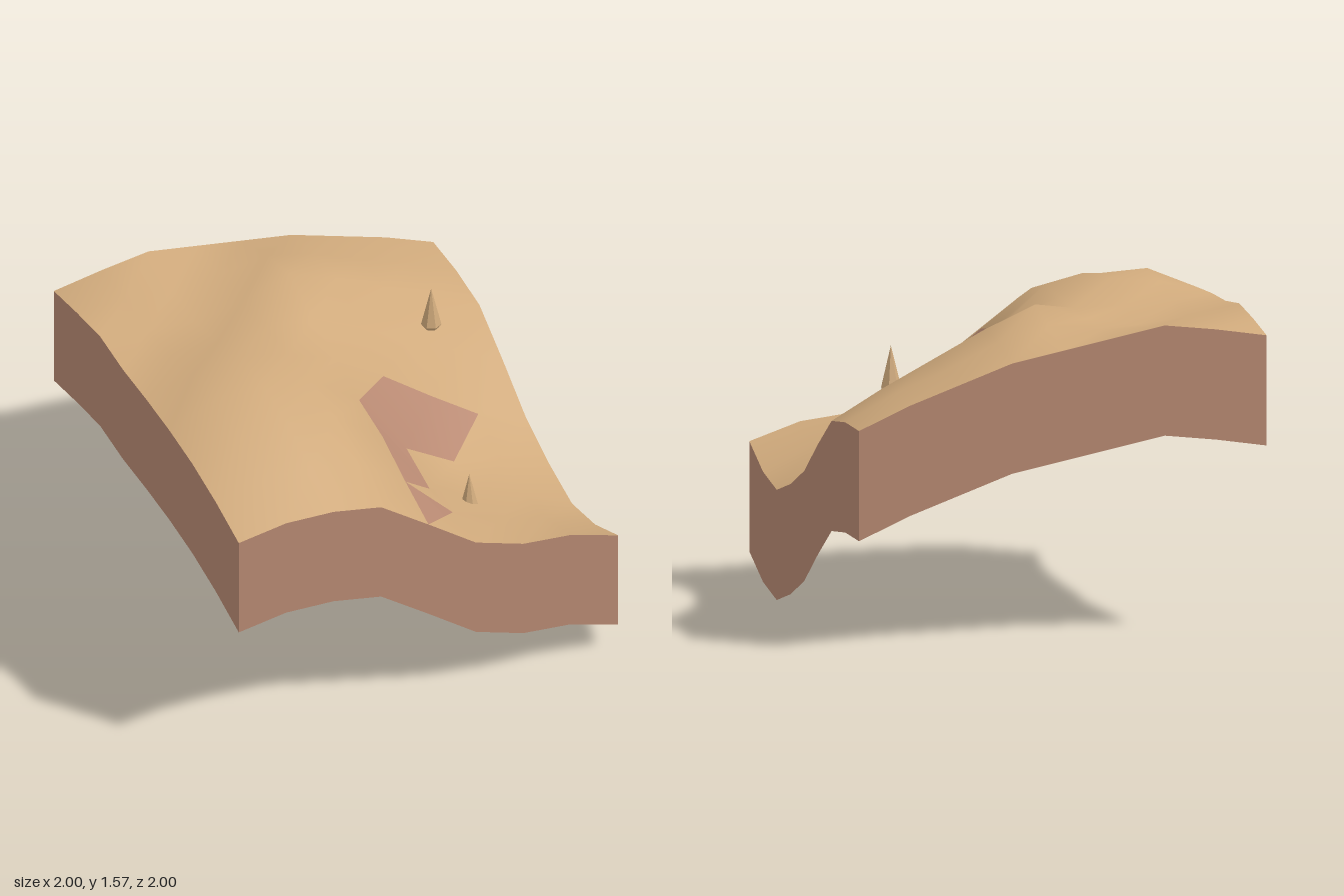
import * as THREE from 'three';

const N = 8, STEP = 0.25, DEPTH = 0.53;

// Terrain heights, rows from back to front, columns along x
const H = [
  [1.44, 1.48, 1.51, 1.46, 1.41, 1.36, 1.27, 1.18, 1.07],
  [1.48, 1.48, 1.46, 1.46, 1.49, 1.42, 1.30, 1.20, 1.07],
  [1.51, 1.46, 1.43, 1.47, 1.55, 1.44, 1.31, 1.18, 1.035],
  [1.48, 1.49, 1.48, 1.48, 1.455, 1.32, 1.16, 1.02, 0.88],
  [1.475, 1.545, 1.57, 1.49, 1.39, 1.20, 1.00, 0.81, 0.71],
  [1.46, 1.565, 1.55, 1.51, 1.31, 0.94, 0.78, 0.70, 0.605],
  [1.43, 1.50, 1.51, 1.45, 1.265, 0.87, 0.75, 0.67, 0.535],
  [1.375, 1.42, 1.41, 1.36, 1.165, 0.90, 0.78, 0.70, 0.58],
  [1.30, 1.335, 1.32, 1.265, 1.08, 0.89, 0.80, 0.77, 0.685],
];

// Bare clay triangles, as column,row,half (0 = back half, 1 = front half)
const CLAY = new Set(['4,4,1', '5,4,0', '5,4,1', '6,4,0', '4,5,0', '4,5,1', '4,6,0', '4,7,0']);

const point = (i, j) => [-1 + i * STEP, H[j][i], -1 + j * STEP];

function bufferGeometry(positions, index) {
  const geo = new THREE.BufferGeometry();
  geo.setAttribute('position', new THREE.Float32BufferAttribute(positions, 3));
  geo.setIndex(index);
  geo.computeVertexNormals();
  return geo;
}

// Smooth ground sheet, with one group for sand and one for clay
function groundGeometry() {
  const positions = [], sand = [], clay = [];
  for (let j = 0; j <= N; j++) for (let i = 0; i <= N; i++) positions.push(...point(i, j));
  for (let j = 0; j < N; j++) {
    for (let i = 0; i < N; i++) {
      const a = j * (N + 1) + i, d = a + 1, b = a + N + 1, c = b + 1;
      [[a, b, d], [b, c, d]].forEach((tri, half) => {
        (CLAY.has(`${i},${j},${half}`) ? clay : sand).push(...tri);
      });
    }
  }
  const geo = bufferGeometry(positions, [...sand, ...clay]);
  geo.addGroup(0, sand.length, 0);
  geo.addGroup(sand.length, clay.length, 1);
  return geo;
}

// One vertical side wall following the ground edge
function wallGeometry(edge) {
  const positions = [], index = [];
  for (let k = 0; k <= N; k++) {
    const [x, y, z] = point(...edge(k));
    positions.push(x, y, z, x, y - DEPTH, z);
    if (k < N) {
      const t = 2 * k;
      index.push(t, t + 1, t + 2, t + 2, t + 1, t + 3);
    }
  }
  return bufferGeometry(positions, index);
}

// Faceted spike with a slightly tucked-in foot
function spikeGeometry() {
  const profile = [[0, 0], [0.036, 0], [0.05, 0.022], [0, 0.225]].map(p => new THREE.Vector2(...p));
  const geo = new THREE.LatheGeometry(profile, 7).toNonIndexed();
  geo.computeVertexNormals();
  return geo;
}

export function createModel() {
  const model = new THREE.Group();
  model.name = 'terrainTile';

  const sand = new THREE.MeshStandardMaterial({ color: 0xd0aa7c, side: THREE.DoubleSide });
  sand.name = 'sand';
  const clay = new THREE.MeshStandardMaterial({ color: 0xb98a73, side: THREE.DoubleSide });
  clay.name = 'clay';

  const add = (name, geo, material) => {
    const mesh = new THREE.Mesh(geo, material);
    mesh.name = name;
    model.add(mesh);
    return mesh;
  };

  add('ground', groundGeometry(), [sand, clay]);

  // Walls run anticlockwise seen from above, so that they face outward
  add('frontWall', wallGeometry(k => [k, N]), clay);
  add('leftWall', wallGeometry(k => [N, N - k]), clay);
  add('backWall', wallGeometry(k => [N - k, 0]), clay);
  add('rightWall', wallGeometry(k => [0, k]), clay);

  // Rock spikes
  const spike = spikeGeometry();
  add('backSpike', spike, sand).position.set(0.665, 1.13, -0.335);
  add('frontSpike', spike, sand).position.set(0.42, 0.73, 0.58);

  return model;
}
